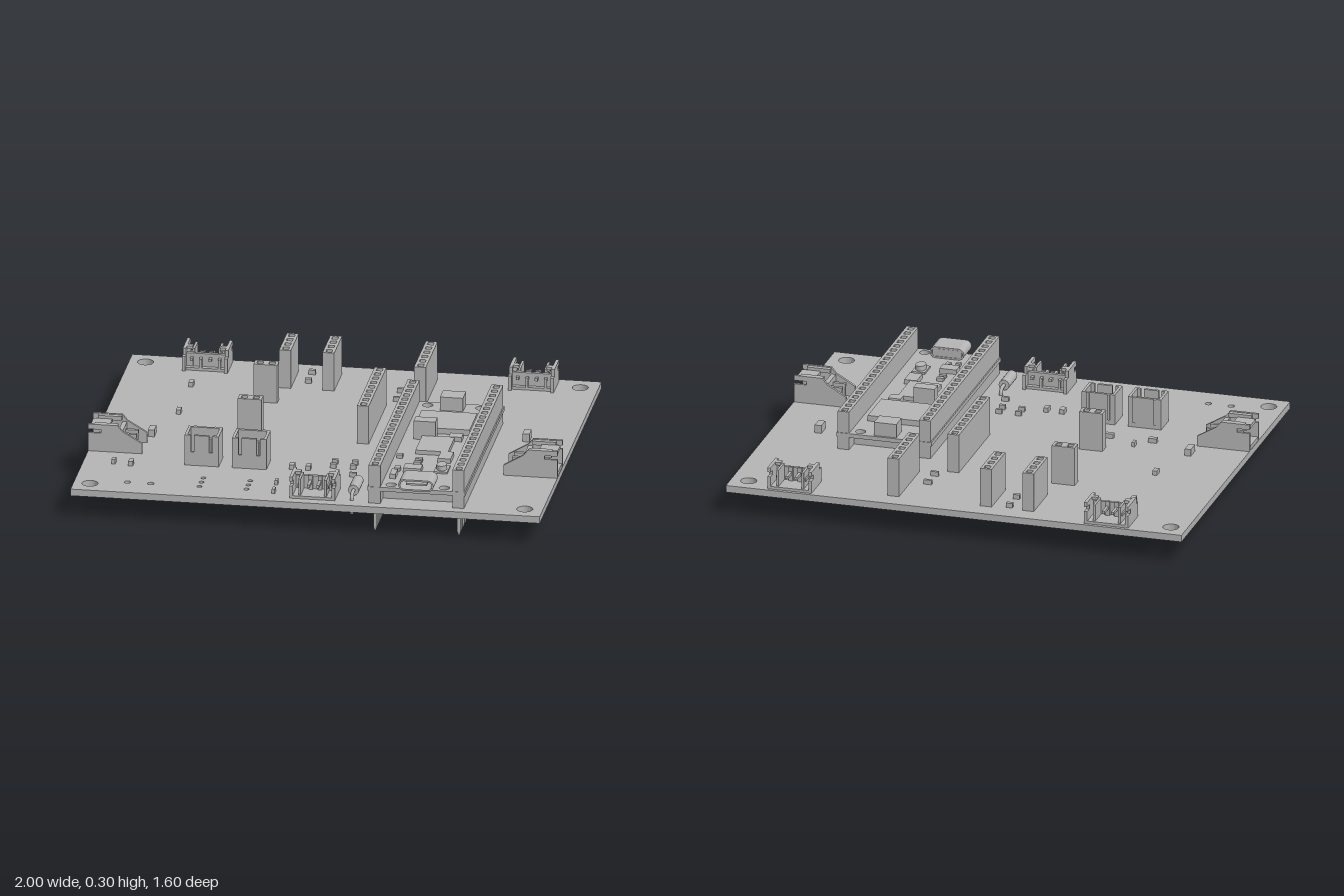
import * as THREE from 'three';

const grey = new THREE.MeshStandardMaterial({ color: 0xb4b4b4 });
grey.name = 'plain grey';

const BASE = 0.13; // top face of the circuit board
const PITCH = 0.0508; // header pin spacing

function add(parent, name, geometry, x = 0, y = 0, z = 0) {
  const mesh = new THREE.Mesh(geometry, grey);
  mesh.name = name;
  mesh.position.set(x, y, z);
  parent.add(mesh);
  return mesh;
}

// Box given by its minimum and maximum corners
function block(parent, name, x0, x1, y0, y1, z0, z1) {
  return add(parent, name, new THREE.BoxGeometry(x1 - x0, y1 - y0, z1 - z0),
    (x0 + x1) / 2, (y0 + y1) / 2, (z0 + z1) / 2);
}

function group(parent, name, x = 0, z = 0, turn = 0) {
  const g = new THREE.Group();
  g.name = name;
  g.position.set(x, 0, z);
  g.rotation.y = turn;
  parent.add(g);
  return g;
}

function rectangle(PathType, x0, x1, y0, y1) {
  return new PathType([[x0, y0], [x1, y0], [x1, y1], [x0, y1]].map(p => new THREE.Vector2(...p)));
}

function circleHole(x, y, r) {
  return new THREE.Path().absarc(x, y, r, 0, Math.PI * 2, true);
}

// Extrudes a plan outline (x, -z) upwards
function slab(shape, height) {
  return new THREE.ExtrudeGeometry(shape, { depth: height, bevelEnabled: false, curveSegments: 12 })
    .rotateX(-Math.PI / 2);
}

// Square pin with a tapered lower tip
function pin(parent, x, z, bottom, top, r = 0.011) {
  const h = top - bottom;
  const profile = [[0, 0], [r * 0.4, 0], [r, 0.018], [r, h], [0, h]].map(p => new THREE.Vector2(...p));
  const geo = new THREE.LatheGeometry(profile, 4).rotateY(Math.PI / 4).toNonIndexed();
  geo.computeVertexNormals();
  add(parent, 'pin', geo, x, bottom, z);
}

// Socket header with n square openings along z
function header(parent, n, x, z, turn, pinBottom) {
  const g = group(parent, 'socketHeader', x, z, turn);
  const half = n * PITCH / 2;
  const shape = rectangle(THREE.Shape, -0.025, 0.025, -half, half);
  for (let i = 0; i < n; i++) {
    const c = (i - (n - 1) / 2) * PITCH;
    shape.holes.push(rectangle(THREE.Path, -0.013, 0.013, c - 0.013, c + 0.013));
    pin(g, 0, c, pinBottom, BASE + 0.01);
    block(g, 'contact', -0.013, 0.013, BASE, 0.26, c - 0.013, c + 0.013);
  }
  add(g, 'headerBody', slab(shape, 0.17), 0, BASE, 0);
}

// Low four-way connector, opening towards local +z
function sideConnector(parent, x, z, turn) {
  const g = group(parent, 'sideEntryConnector', x, z, turn);
  block(g, 'floor', -0.097, 0.097, BASE, 0.142, -0.06, 0.07);
  block(g, 'rearWall', -0.085, 0.085, 0.142, 0.2, -0.04, -0.025);
  const side = new THREE.Shape([[-0.075, 0.13], [0.07, 0.13], [0.07, 0.185], [0.04, 0.185], [0.04, 0.205],
    [0.07, 0.205], [0.07, 0.225], [-0.05, 0.225], [-0.05, 0.195], [-0.075, 0.195]]
    .map(p => new THREE.Vector2(...p)));
  for (const s of [-1, 1]) {
    const wall = new THREE.ExtrudeGeometry(side, { depth: 0.014, bevelEnabled: false }).rotateY(-Math.PI / 2);
    add(g, 'sideWall', wall, s < 0 ? -0.083 : 0.097);
    block(g, 'topRail', s * 0.075 - 0.016, s * 0.075 + 0.016, 0.212, 0.225, -0.025, 0.0);
    block(g, 'guide', s * 0.055 - 0.005, s * 0.055 + 0.005, 0.142, 0.215, -0.025, 0.06);
  }
  for (let i = 0; i < 4; i++) {
    const px = (i - 1.5) * 0.04;
    pin(g, px, -0.055 + (i % 2) * 0.02, 0.07, 0.18, 0.008);
    block(g, 'contact', px - 0.006, px + 0.006, 0.172, 0.184, -0.06, 0.045);
    block(g, 'rib', px - 0.009, px + 0.009, 0.142, 0.205, -0.025, -0.015);
  }
}

// Tall two-way locking connector, opening towards local +x
function edgeConnector(parent, x, z, turn) {
  const g = group(parent, 'lockingConnector', x, z, turn);
  const side = new THREE.Shape([[-0.115, 0.13], [0.115, 0.13], [0.115, 0.212], [0.06, 0.212], [0.06, 0.228],
    [0.115, 0.228], [0.115, 0.25], [-0.01, 0.25], [-0.03, 0.225], [-0.115, 0.175]]
    .map(p => new THREE.Vector2(...p)));
  const wall = new THREE.ExtrudeGeometry(side, { depth: 0.012, bevelEnabled: false });
  add(g, 'sideWall', wall, 0, 0, -0.072);
  add(g, 'sideWall', wall, 0, 0, 0.06);
  block(g, 'floor', -0.02, 0.113, BASE, 0.147, -0.06, 0.06);
  block(g, 'rearWall', -0.03, -0.01, BASE, 0.22, -0.06, 0.06);
  block(g, 'roof', 0.03, 0.11, 0.222, 0.236, -0.038, 0.038);
  for (const s of [-1, 1]) {
    block(g, 'roofRail', -0.01, 0.09, 0.23, 0.248, s * 0.05 - 0.01, s * 0.05 + 0.01);
    block(g, 'contact', -0.085, 0.075, 0.185, 0.2, s * 0.025 - 0.008, s * 0.025 + 0.008);
    pin(g, -0.077, s * 0.025, 0.07, 0.2, 0.009);
  }
}

// Upright open-topped two-way connector
function uprightConnector(parent, x, z) {
  const g = group(parent, 'uprightConnector', x, z);
  block(g, 'floor', -0.073, 0.073, BASE, 0.15, -0.055, 0.055);
  block(g, 'rearWall', -0.073, 0.073, 0.15, 0.265, -0.055, -0.043);
  for (const s of [-1, 1]) {
    block(g, 'endWall', s * 0.067 - 0.006, s * 0.067 + 0.006, 0.15, 0.265, -0.043, 0.055);
    block(g, 'frontCorner', s * 0.054 - 0.008, s * 0.054 + 0.008, 0.15, 0.265, 0.043, 0.055);
    block(g, 'rearKey', s * 0.045 - 0.006, s * 0.045 + 0.006, 0.15, 0.265, -0.061, -0.055);
    pin(g, s * 0.025, 0, 0.07, 0.235, 0.011);
  }
  block(g, 'frontCentre', -0.032, 0.032, 0.15, 0.265, 0.043, 0.055);
  block(g, 'frontSill', -0.06, 0.06, 0.15, 0.19, 0.043, 0.055);
}

export function createModel() {
  const model = new THREE.Group();
  model.name = 'circuitBoard';

  // Main board with mounting and solder holes
  const outline = rectangle(THREE.Shape, -1, 1, -0.8, 0.8);
  for (const x of [-0.93, 0.923]) for (const z of [-0.72, 0.72]) outline.holes.push(circleHole(x, -z, 0.034));
  for (const x of [-0.47, -0.27]) for (const z of [0.58, 0.63, 0.68]) outline.holes.push(circleHole(x, -z, 0.011));
  for (const x of [-0.777, -0.677]) outline.holes.push(circleHole(x, -0.68, 0.014));
  add(model, 'mainBoard', slab(outline, 0.03), 0, 0.1, 0);

  // Socket headers: count, x, z, turn, pin bottom
  for (const [n, x, z, turn, bottom] of [
    [20, 0.288, 0.248, 0, 0], [20, 0.645, 0.248, 0, 0],
    [4, -0.302, -0.615, 0, 0.065], [4, -0.117, -0.615, 0, 0.065],
    [6, 0.29, -0.563, 0, 0.065], [9, 0.127, -0.152, 0, 0.065],
    [2, -0.356, -0.358, Math.PI / 2, 0.065], [2, -0.356, 0.05, Math.PI / 2, 0.065],
  ]) header(model, n, x, z, turn, bottom);

  // Connectors
  sideConnector(model, -0.665, -0.715, Math.PI);
  sideConnector(model, 0.725, -0.715, Math.PI);
  sideConnector(model, 0.022, 0.685, 0);
  edgeConnector(model, 0.885, 0.272, 0);
  edgeConnector(model, -0.885, 0.272, Math.PI);
  uprightConnector(model, -0.5, 0.388);
  uprightConnector(model, -0.297, 0.388);

  // Small surface parts: x, z, width, depth, height
  for (const [x, z, w, d, h = 0.02] of [
    [-0.695, -0.48, 0.02, 0.036], [-0.695, -0.155, 0.02, 0.036], [-0.765, 0.11, 0.027, 0.06, 0.03],
    [-0.58, 0.19, 0.036, 0.022], [-0.515, 0.13, 0.013, 0.03], [-0.39, 0.19, 0.036, 0.022],
    [-0.31, 0.13, 0.013, 0.03], [-0.87, 0.465, 0.016, 0.03], [-0.795, 0.475, 0.02, 0.036],
    [-0.215, -0.695, 0.028, 0.018], [-0.215, -0.592, 0.028, 0.018], [0.19, -0.54, 0.035, 0.013],
    [0.19, -0.44, 0.035, 0.013], [0.8, -0.085, 0.03, 0.057, 0.035], [0.05, 0.323, 0.026, 0.016],
    [0.05, 0.373, 0.026, 0.016], [0.135, 0.323, 0.026, 0.016], [0.135, 0.373, 0.026, 0.016],
    [-0.12, 0.405, 0.022, 0.036], [-0.05, 0.405, 0.02, 0.036], [0.15, 0.465, 0.03, 0.012],
    [-0.155, 0.597, 0.013, 0.03], [-0.15, 0.7, 0.013, 0.03],
  ]) block(model, 'surfacePart', x - w / 2, x + w / 2, BASE, BASE + h, z - d / 2, z + d / 2);

  // Axial diode with bent leads
  const diode = group(model, 'diode', 0.188, 0.63);
  add(diode, 'diodeBody', new THREE.CylinderGeometry(0.023, 0.023, 0.12, 20).rotateX(Math.PI / 2), 0, 0.157, 0);
  const lead = new THREE.CatmullRomCurve3([[0.07, -0.105], [0.14, -0.105], [0.157, -0.09], [0.157, 0.09],
    [0.14, 0.105], [0.07, 0.105]].map(([y, z]) => new THREE.Vector3(0, y, z)), false, 'catmullrom', 0.1);
  add(diode, 'diodeLead', new THREE.TubeGeometry(lead, 40, 0.008, 8));

  // Plug-in controller module
  const module = group(model, 'controllerModule');
  const plate = rectangle(THREE.Shape, 0.258, 0.675, -0.758, 0.263);
  for (const x of [0.354, 0.58]) for (const z of [-0.225, 0.72]) plate.holes.push(circleHole(x, -z, 0.022));
  add(module, 'modulePlate', slab(plate, 0.018), 0, 0.186, 0);
  block(module, 'moduleSupport', 0.312, 0.621, BASE, 0.186, -0.19, 0.69);
  for (const [name, x0, x1, z0, z1, h] of [
    ['radioShield', 0.348, 0.586, -0.1, 0.1, 0.025], ['debugSocket', 0.415, 0.513, -0.252, -0.172, 0.06],
    ['pushButton', 0.36, 0.453, 0.125, 0.178, 0.082], ['processor', 0.396, 0.535, 0.172, 0.35, 0.018],
    ['memoryChip', 0.38, 0.455, 0.515, 0.57, 0.02], ['passive', 0.505, 0.56, 0.35, 0.435, 0.02],
    ['passive', 0.51, 0.565, 0.13, 0.178, 0.02], ['passive', 0.335, 0.36, 0.585, 0.65, 0.02],
    ['passive', 0.325, 0.35, 0.385, 0.41, 0.015], ['passive', 0.41, 0.44, 0.42, 0.44, 0.015],
    ['passive', 0.41, 0.44, 0.46, 0.48, 0.015], ['passive', 0.34, 0.365, 0.53, 0.56, 0.015],
    ['passive', 0.43, 0.45, 0.585, 0.61, 0.015], ['passive', 0.39, 0.41, 0.6, 0.62, 0.015],
  ]) block(module, name, x0, x1, 0.204, 0.204 + h, z0, z1);

  // Oval crystal
  const oval = new THREE.CylinderGeometry(0.022, 0.022, 0.026, 20).scale(1, 1, 1.35);
  block(module, 'crystalBase', 0.508, 0.566, 0.204, 0.212, 0.478, 0.56);
  add(module, 'crystal', oval, 0.537, 0.22, 0.519);

  // Rounded hollow power socket at the front edge
  const capsule = (Type, w, h) => new Type().absarc(w, 0, h, -Math.PI / 2, Math.PI / 2)
    .absarc(-w, 0, h, Math.PI / 2, Math.PI * 1.5).closePath();
  const shell = capsule(THREE.Shape, 0.05, 0.025);
  shell.holes.push(capsule(THREE.Path, 0.05, 0.018));
  add(module, 'powerSocketShell', new THREE.ExtrudeGeometry(shell, { depth: 0.112, bevelEnabled: false }), 0.469, 0.23, 0.672);
  block(module, 'powerSocketRear', 0.405, 0.533, 0.213, 0.247, 0.673, 0.69);
  block(module, 'powerSocketTongue', 0.425, 0.513, 0.226, 0.234, 0.69, 0.77);

  return model;
}
